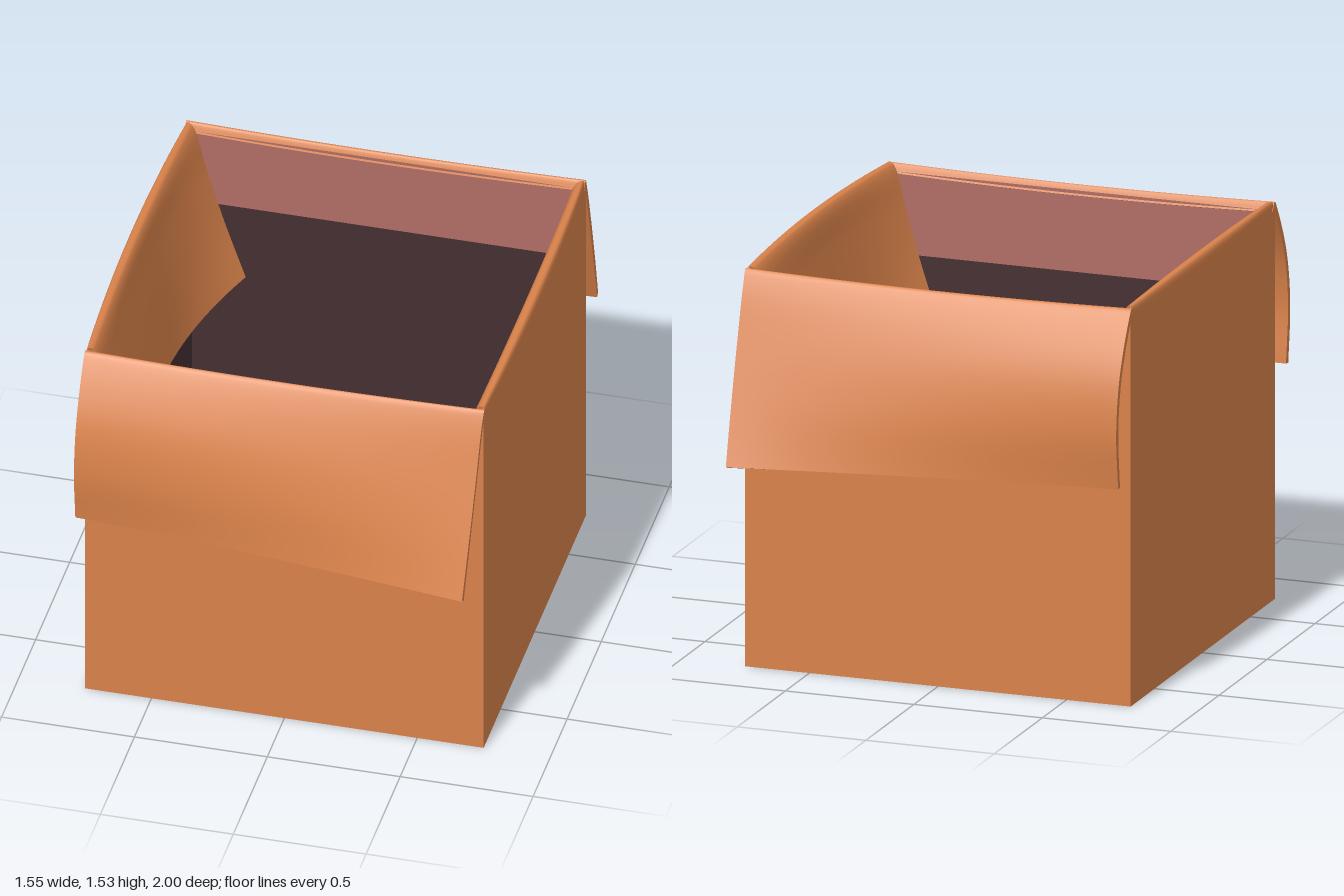
import * as THREE from 'three';
import { mergeGeometries } from 'three/addons/utils/BufferGeometryUtils.js';

const V = (x, y, z) => new THREE.Vector3(x, y, z);

function makeMaterial(name, color) {
  const m = new THREE.MeshStandardMaterial({ color });
  m.name = name;
  return m;
}

function fromPoints(points, index) {
  const g = new THREE.BufferGeometry().setFromPoints(points);
  g.setIndex(index);
  g.computeVertexNormals();
  return g;
}

// Square tube with side walls that bow out towards the top; optional floor, may face inward
function openBox(half, y0, y1, floor, inward) {
  const n = 12;
  const g = new THREE.BoxGeometry(half * 2, y1 - y0, half * 2, n, n, n);
  g.translate(0, (y0 + y1) / 2, 0);
  const p = g.attributes.position;
  for (let i = 0; i < p.count; i++) {
    const x = p.getX(i), y = p.getY(i), z = p.getZ(i);
    p.setX(i, x * (1 + 0.034 * (1 - (z / half) ** 2) * (y / 1.5)));
  }
  // face order: +x, -x, top, bottom, +z, -z
  const index = [];
  g.groups.forEach((group, face) => {
    if (face === 2 || (face === 3 && !floor)) return;
    for (let k = group.start; k < group.start + group.count; k++) index.push(g.index.getX(k));
  });
  if (inward) index.reverse();
  g.clearGroups();
  g.setIndex(index);
  g.computeVertexNormals();
  return g;
}

// Curved sheet of cardboard with thickness t, from a surface f(u, v), u in -1..1, v in 0..1
function sheet(f, t, nu = 20, nv = 20) {
  const row = nv + 1, front = [], index = [];
  for (let i = 0; i <= nu; i++)
    for (let j = 0; j <= nv; j++) front.push(f((i / nu) * 2 - 1, j / nv));
  for (let i = 0; i < nu; i++)
    for (let j = 0; j < nv; j++) {
      const a = i * row + j, b = a + 1, c = a + row, d = c + 1;
      index.push(a, b, c, b, d, c);
    }
  const face = fromPoints(front, index);
  const normals = face.attributes.normal;
  const back = front.map((p, i) => p.clone().addScaledVector(V().fromBufferAttribute(normals, i), -t));
  const reverse = fromPoints(back, [...index].reverse());

  // cut edges around the rim
  const loop = [];
  for (let j = 0; j < nv; j++) loop.push(j);
  for (let i = 0; i < nu; i++) loop.push(i * row + nv);
  for (let j = nv; j > 0; j--) loop.push(nu * row + j);
  for (let i = nu; i > 0; i--) loop.push(i * row);
  const pts = [], idx = [];
  loop.forEach((a, k) => {
    const b = loop[(k + 1) % loop.length], o = pts.length;
    pts.push(front[a], front[b], back[a], back[b]);
    idx.push(o, o + 2, o + 1, o + 1, o + 2, o + 3);
  });
  return mergeGeometries([face, reverse, fromPoints(pts, idx)]);
}

function mirrored(geometry, sx, sz) {
  const g = geometry.clone().scale(sx, 1, sz);
  g.setIndex([...g.index.array].reverse());
  g.computeVertexNormals();
  return g;
}

const profile = (pairs) => new THREE.CatmullRomCurve3(pairs.map(([a, y]) => V(a, y, 0)));

export function createModel() {
  const group = new THREE.Group();
  const cardboard = makeMaterial('cardboard', 0xd9824a);
  const inner = makeMaterial('inner cardboard', 0xb06e64);
  const dark = makeMaterial('dark interior', 0x452f33);
  const add = (name, geometry, material) => {
    const mesh = new THREE.Mesh(geometry, material);
    mesh.name = name;
    group.add(mesh);
  };

  // Box body and its lining
  add('outerWalls', openBox(0.75, 0, 1.48, true, false), cardboard);
  add('upperLining', openBox(0.725, 1.17, 1.48, false, true), inner);
  add('lowerLining', openBox(0.725, 0.02, 1.17, true, true), dark);

  // Front and back flaps fold outward: curled at the right end, straight at the left end
  const curled = profile([[0.722, 1.475], [0.742, 1.51], [0.772, 1.475], [0.87, 1.28], [0.905, 1.08], [0.885, 0.86]]);
  const straight = profile([[0.722, 1.475], [0.742, 1.51], [0.772, 1.46], [0.85, 1.25], [0.925, 1.04], [1.0, 0.825]]);
  const outerFlap = sheet((u, v) => {
    const s = (u + 1) / 2;
    const p = curled.getPoint(v).lerp(straight.getPoint(v), s ** 1.25);
    const dip = 0.014 * (1 - u * u) * (1 - v);
    const x = u * 0.752 - 0.02 * s * v * v;
    return V(x, p.y - dip, p.x);
  }, 0.022, 20, 25);
  add('frontFlap', outerFlap, cardboard);
  add('backFlap', mirrored(outerFlap, 1, -1), cardboard);

  // Side flaps roll over the rim and hang inside, bowed along their length
  const middle = profile([[0.774, 1.465], [0.765, 1.528], [0.735, 1.525], [0.71, 1.38], [0.675, 1.12], [0.655, 0.87]]);
  const corner = profile([[0.75, 1.465], [0.745, 1.513], [0.722, 1.505], [0.67, 1.34], [0.6, 1.12], [0.515, 0.885]]);
  const innerFlap = sheet((u, v) => {
    const p = corner.getPoint(v).lerp(middle.getPoint(v), 1 - u * u);
    return V(p.x, p.y, u * (0.742 - 0.05 * v));
  }, 0.018, 20, 25);
  add('leftFlap', innerFlap, cardboard);
  add('rightFlap', mirrored(innerFlap, -1, 1), cardboard);

  return group;
}
